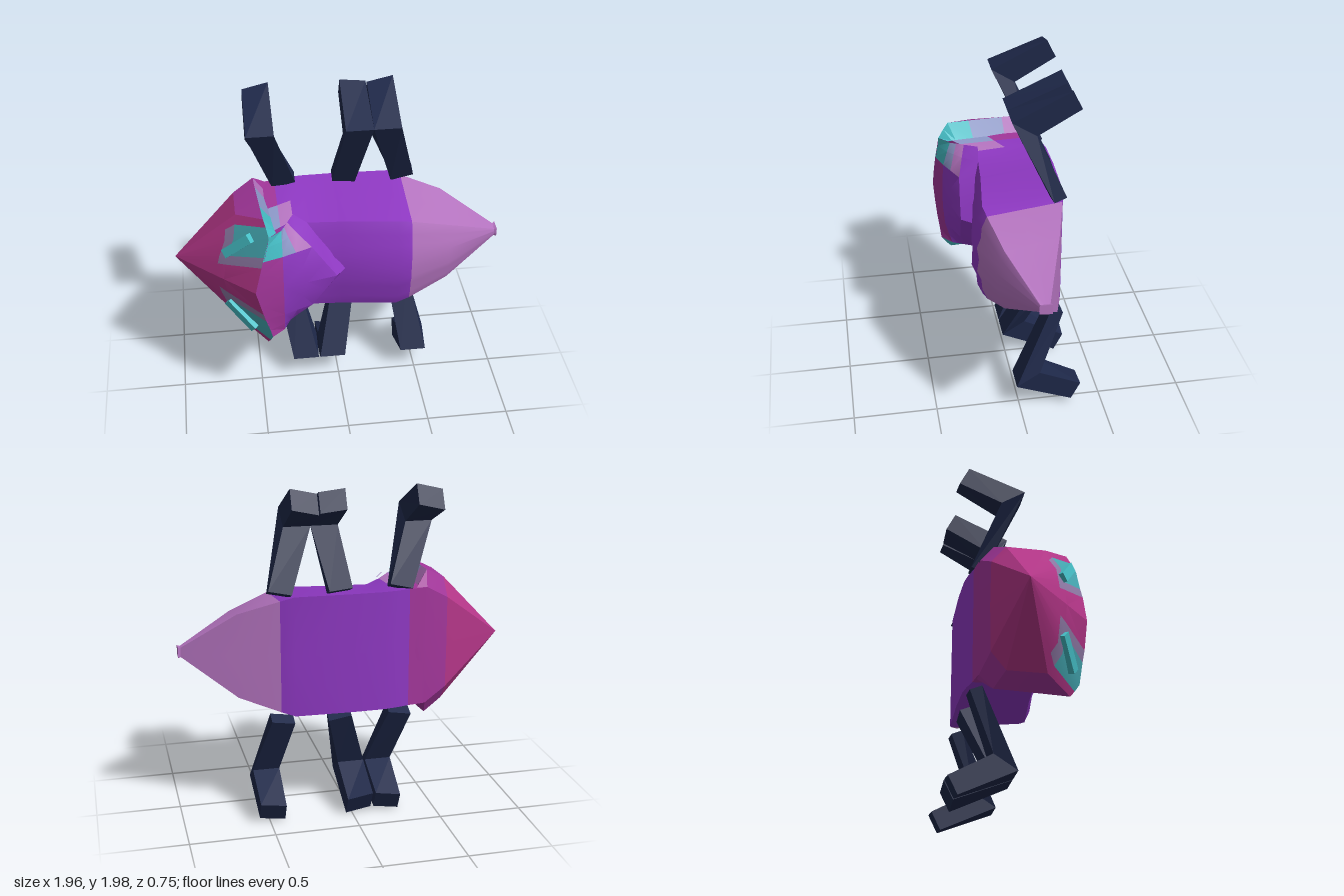
import * as THREE from 'three';
import { toCreasedNormals } from 'three/addons/utils/BufferGeometryUtils.js';

const MID = 1.0125; // height of the mirror plane

const colours = {
  pink: 0xb43688, magenta: 0xa2369a, purple: 0x8e38c2, lavender: 0xb574c0, greyLilac: 0x8f7aa6,
  teal: 0x46c0c8, patchTeal: 0x46aab4, blueLilac: 0x8c98c8, navy: 0x1e2849,
};
const mats = {};
for (const [name, color] of Object.entries(colours)) {
  mats[name] = new THREE.MeshStandardMaterial({ color });
  mats[name].name = name;
}

const mix = (a, b, t) => a.map((n, i) => n + (b[i] - n) * t);

// Skin over half rings (running front centre -> side -> back centre), mirrored in y.
// A point is x, distance from the mirror plane, z and an optional lift.
// colourOf(row, column, side) names the material of each patch.
function skin(name, rows, colourOf, crease) {
  const buckets = {};
  const v = (p, s) => new THREE.Vector3(p[0], MID + s * p[1] + (p[3] ?? 0), p[2]);
  for (let r = 0; r < rows.length - 1; r++) {
    for (let c = 0; c < rows[r].length - 1; c++) {
      for (const s of [1, -1]) {
        const list = (buckets[colourOf(r, c, s)] ??= []);
        const [a, b, d, e] = [rows[r][c], rows[r + 1][c], rows[r + 1][c + 1], rows[r][c + 1]].map((p) => v(p, s));
        for (const tri of [[a, b, d], [a, d, e]]) {
          if (new THREE.Triangle(...tri).getArea() < 1e-7) continue;
          if (s < 0) tri.reverse();
          tri.forEach((p) => list.push(p.x, p.y, p.z));
        }
      }
    }
  }
  const all = [];
  const groups = [];
  const used = Object.keys(buckets);
  used.forEach((key, i) => {
    groups.push([all.length / 3, buckets[key].length / 3, i]);
    all.push(...buckets[key]);
  });
  let geo = new THREE.BufferGeometry();
  geo.setAttribute('position', new THREE.Float32BufferAttribute(all, 3));
  geo = toCreasedNormals(geo, crease);
  geo.clearGroups();
  groups.forEach((g) => geo.addGroup(...g));
  const mesh = new THREE.Mesh(geo, used.map((k) => mats[k]));
  mesh.name = name;
  return mesh;
}

// Ribbed body tapering to the tail
function makeBody() {
  // x, back half width, front half width, back z, front edge z, rib height, lift
  const stations = [
    [-0.46, 0.36, 0.355, -0.24, 0.31, 0.02, 0],
    [-0.36, 0.36, 0.345, -0.255, 0.22, 0.03, 0],
    [-0.28, 0.36, 0.33, -0.275, 0.14, 0.04, 0],
    [-0.2, 0.36, 0.3, -0.287, 0.13, 0.045, 0],
    [0, 0.36, 0.3, -0.29, 0.145, 0.05, 0],
    [0.33, 0.36, 0.3, -0.28, 0.185, 0.065, 0],
    [0.41, 0.335, 0.28, -0.26, 0.17, 0.06, 0],
    [0.65, 0.252, 0.19, -0.195, 0.11, 0.045, 0.005],
    [0.965, 0.028, 0.022, -0.085, -0.03, 0.005, 0.02],
    [0.98, 0.032, 0.028, -0.095, -0.025, 0.004, 0.02],
    [0.98, 0, 0, -0.06, -0.06, 0, 0.02],
  ];
  const rows = stations.map(([x, hb, hf, zb, ze, rib, lift]) => {
    const edge = [x, hf, ze, lift];
    const corner = [x, hb, zb, lift];
    return [
      [x, 0, ze + rib * 0.8, lift], [x, hf * 0.28, ze + rib, lift], [x, hf * 0.5, ze + rib * 0.6, lift],
      [x, hf * 0.75, ze + rib * 0.5, lift], edge, mix(edge, corner, 0.45), corner, [x, 0, zb, lift],
    ];
  });
  return skin('body', rows, (r, c) => {
    if (c === 4 && r < 2) return r === 0 ? 'blueLilac' : 'lavender';
    return r < 1 ? 'magenta' : r < 6 ? 'purple' : 'lavender';
  }, 0.75);
}

// Pointed head with flared collar and a patch around each eye
function makeHead() {
  const tipPoint = [-0.98, 0, -0.05];
  const cheek = [
    [-0.7, 0, 0.215], [-0.685, 0.1, 0.208], [-0.67, 0.16, 0.205], [-0.63, 0.27, 0.2], [-0.617, 0.34, 0.155],
    [-0.61, 0.385, 0.12], [-0.61, 0.385, 0.06], [-0.61, 0.385, -0.04], [-0.61, 0.385, -0.11],
    [-0.61, 0.28, -0.195], [-0.61, 0, -0.2],
  ];
  const tip = cheek.map(() => tipPoint);
  const brow = cheek.map((p) => mix(p, tipPoint, 0.15));
  const rim = [
    [-0.525, 0, 0.375], [-0.485, 0.17, 0.365], [-0.463, 0.235, 0.357], [-0.435, 0.36, 0.343], [-0.448, 0.41, 0.31],
    [-0.46, 0.447, 0.28], [-0.47, 0.447, 0.15], [-0.485, 0.447, -0.06], [-0.49, 0.447, -0.16],
    [-0.47, 0.36, -0.235], [-0.47, 0, -0.24],
  ];
  const neck = [
    [-0.45, 0, 0.32], [-0.44, 0.17, 0.32], [-0.43, 0.23, 0.32], [-0.39, 0.355, 0.29], [-0.395, 0.355, 0.265],
    [-0.4, 0.355, 0.24], [-0.41, 0.355, 0.13], [-0.43, 0.355, -0.07], [-0.43, 0.355, -0.17],
    [-0.4, 0.355, -0.24], [-0.4, 0, -0.25],
  ];
  const browBand = { 1: 'greyLilac', 2: 'greyLilac', 3: 'greyLilac' };
  const cheekBand = { 0: 'pink', 1: 'greyLilac', 2: 'patchTeal', 3: 'patchTeal', 4: 'pink' };
  const collar = { 3: 'teal', 4: 'teal', 5: 'teal', 6: 'blueLilac', 7: 'lavender' };
  return skin('head', [tip, brow, cheek, rim, neck], (r, c) => {
    if (r < 2) return (r === 1 && browBand[c]) || 'pink';
    return (r === 2 ? cheekBand : collar)[c] ?? 'magenta';
  }, 0.3);
}

// Back shield ending in a point over the body, with a painted upper shoulder
function makeShield() {
  const y = [0, 0.1, 0.21, 0.3, 0.36];
  const row = (xs, zs) => y.map((h, i) => [xs[i], h, zs[i]]);
  const rim = row([-0.525, -0.5, -0.475, -0.45, -0.435], [0.378, 0.372, 0.362, 0.35, 0.343]);
  const band = row([-0.36, -0.36, -0.36, -0.36, -0.36], [0.337, 0.334, 0.325, 0.3, 0.28]);
  const crest = row([-0.04, -0.11, -0.185, -0.27, -0.32], [0.262, 0.257, 0.25, 0.22, 0.2]);
  const lip = row([0.015, -0.055, -0.135, -0.2, -0.28], [0.195, 0.18, 0.16, 0.13, 0.12]);
  const middle = band.map((p, i) => mix(p, crest[i], 0.45));
  const shoulder = ['teal', 'blueLilac', 'lavender', 'purple'];
  const plain = ['magenta', 'purple', 'purple', 'purple'];
  return skin('shield', [rim, band, middle, crest, lip],
    (r, c, side) => (side > 0 && c > 1 ? shoulder : plain)[r], 0.4);
}

// Slanted bar eye on each cheek
function makeEye(side) {
  const eye = new THREE.Mesh(new THREE.BoxGeometry(0.23, 0.055, 0.05), mats.teal);
  const along = new THREE.Vector3(0.15, 0.16 * side, 0.09).normalize();
  const out = new THREE.Vector3(-0.6, 0.2 * side, 0.75);
  out.addScaledVector(along, -out.dot(along)).normalize();
  const across = new THREE.Vector3().crossVectors(out, along);
  eye.quaternion.setFromRotationMatrix(new THREE.Matrix4().makeBasis(along, across, out));
  eye.position.set(-0.605, MID + 0.25 * side, 0.235);
  eye.name = side > 0 ? 'upperEye' : 'lowerEye';
  return eye;
}

// Bent leg: a box with three rings moved to hip, knee and foot
function makeLeg(side, hipX, kneeX) {
  // outer height and z, inner height and z, half width
  const rings = [
    [0.362, -0.2, 0.392, -0.27, 0.068],
    [0.83, 0.02, 0.74, -0.12, 0.08],
    [0.975, -0.315, 0.865, -0.37, 0.076],
  ];
  const lean = -1.7 * (kneeX - hipX);
  const box = new THREE.BoxGeometry(1, 1, 1, 1, 2, 1);
  const p = box.attributes.position;
  for (let i = 0; i < p.count; i++) {
    const k = Math.round(p.getY(i) * 2 * side) + 1;
    const [oh, oz, ih, iz, w] = rings[k];
    const outer = p.getZ(i) > 0;
    const dx = Math.sign(p.getX(i)) * w;
    const h = (outer ? oh : ih) + (k === 1 ? 0 : lean * dx);
    p.setXYZ(i, (k === 0 ? hipX : kneeX) + dx, 1.005 + side * h, outer ? oz : iz);
  }
  const geo = box.toNonIndexed();
  geo.computeVertexNormals();
  return new THREE.Mesh(geo, mats.navy);
}

export function createModel() {
  const model = new THREE.Group();
  model.name = 'beetle';
  model.add(makeBody(), makeHead(), makeShield(), makeEye(1), makeEye(-1));
  const legs = [
    ['upperFrontLeg', 1, -0.305, -0.445], ['upperMiddleLeg', 1, 0.055, 0.12], ['upperRearLeg', 1, 0.41, 0.28],
    ['lowerFrontLeg', -1, -0.305, -0.21], ['lowerMiddleLeg', -1, 0.06, -0.04], ['lowerRearLeg', -1, 0.4, 0.485],
  ];
  for (const [name, side, hipX, kneeX] of legs) {
    const leg = makeLeg(side, hipX, kneeX);
    leg.name = name;
    model.add(leg);
  }
  return model;
}
